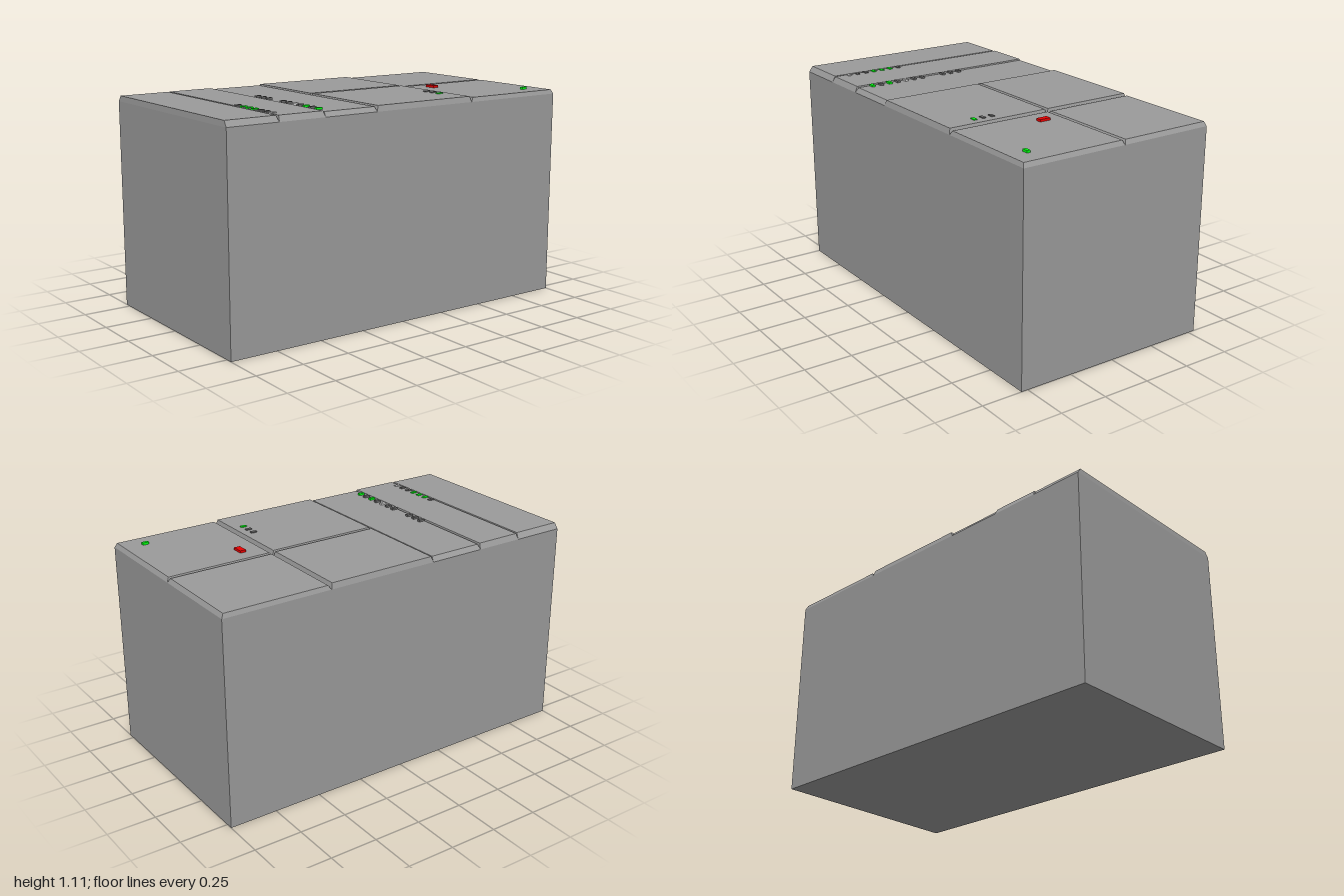
import * as THREE from 'three';

const BASE = 1.073; // height of the cabinet below the worktop panels
const HALF = 0.535; // half depth

const material = (color) => new THREE.MeshStandardMaterial({ color, flatShading: true });
const grey = material(0x9b9b9b);
const paint = { dark: material(0x6a6a6a), pale: material(0xc4c4c4), green: material(0x00ff10), red: material(0xea0000) };

// Slab whose top face is drawn in by [left, right, back, front]
function panel(name, x0, x1, z0, z1, top, [l, r, b, f]) {
  const h = top - BASE;
  const geo = new THREE.BoxGeometry(x1 - x0, h, z1 - z0);
  const p = geo.attributes.position;
  for (let i = 0; i < p.count; i++) {
    if (p.getY(i) < 0) continue;
    p.setX(i, p.getX(i) + (p.getX(i) < 0 ? l : -r));
    p.setZ(i, p.getZ(i) + (p.getZ(i) < 0 ? b : -f));
  }
  geo.computeVertexNormals();
  const mesh = new THREE.Mesh(geo, grey);
  mesh.name = name;
  mesh.position.set((x0 + x1) / 2, BASE + h / 2, (z0 + z1) / 2);
  return mesh;
}

function button(name, x, z, color, depth = 0.018) {
  const mesh = new THREE.Mesh(new THREE.BoxGeometry(0.032, 0.02, depth), paint[color]);
  mesh.name = name;
  mesh.position.set(x, 1.097, z);
  return mesh;
}

export function createModel() {
  const model = new THREE.Group();
  model.name = 'controlDesk';

  // Closed cabinet
  const body = new THREE.Mesh(new THREE.BoxGeometry(2, BASE, 2 * HALF), grey);
  body.name = 'cabinet';
  body.position.y = BASE / 2;
  model.add(body);

  // Three full-depth strips, then four bevelled panels split by grooves
  const mid = -0.03;
  model.add(
    panel('stripRight', -1, -0.725, -HALF, HALF, 1.102, [0.002, 0.007, 0.02, 0.02]),
    panel('stripMiddle', -0.725, -0.473, -HALF, HALF, 1.102, [0.005, 0.004, 0.013, 0.015]),
    panel('stripLeft', -0.473, -0.174, -HALF, HALF, 1.097, [0.005, 0.004, 0.018, 0.018]),
    panel('centrePanelBack', -0.174, 0.423, -HALF, mid, 1.102, [0.01, 0.008, 0.008, 0.011]),
    panel('centrePanelFront', -0.174, 0.423, mid, HALF, 1.102, [0.01, 0.008, 0.009, 0.008]),
    panel('sidePanelBack', 0.423, 1, -HALF, mid, 1.095, [0.015, 0.012, 0.008, 0.011]),
    panel('sidePanelFront', 0.423, 1, mid, HALF, 1.095, [0.015, 0.012, 0.009, 0.008])
  );

  // Button columns: x position and [z, colour] pairs
  const columns = [
    [-0.705, [[0.143, 'dark'], [0.195, 'green'], [0.245, 'green'], [0.295, 'green'],
      [0.345, 'dark'], [0.395, 'dark'], [0.445, 'pale']]],
    [-0.451, [[-0.087, 'dark'], [-0.037, 'dark'], [0.013, 'dark'], [0.143, 'dark'], [0.194, 'dark'],
      [0.245, 'pale'], [0.294, 'dark'], [0.344, 'green'], [0.395, 'dark'], [0.445, 'green']]],
    [0.36, [[0.256, 'dark'], [0.306, 'dark'], [0.357, 'green']]]
  ];
  for (const [x, list] of columns) {
    for (const [z, color] of list) model.add(button('button', x, z, color));
  }
  model.add(button('stopButton', 0.542, 0.083, 'red', 0.06));
  model.add(button('startButton', 0.88, 0.432, 'green'));

  return model;
}
